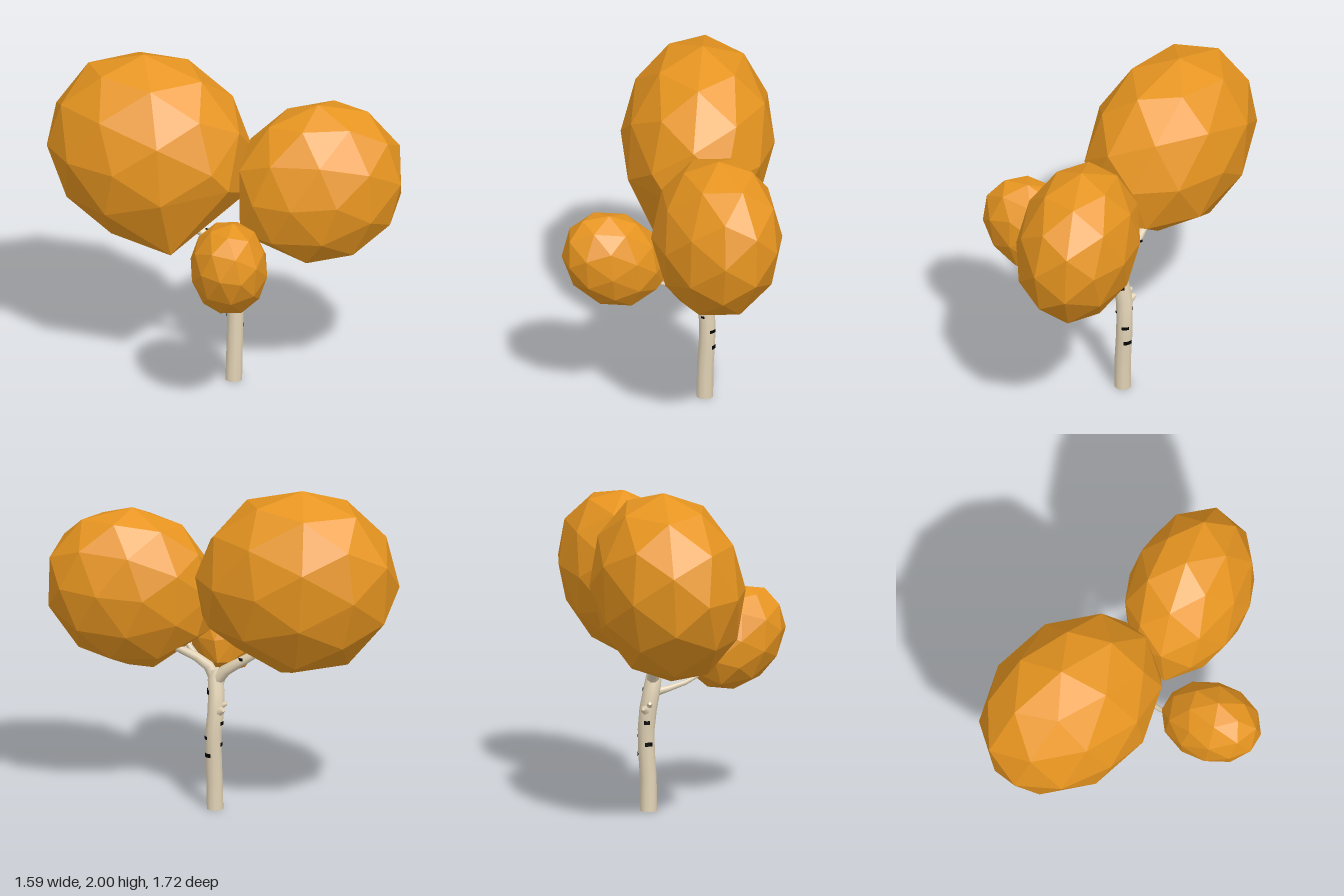
import * as THREE from 'three';
import { toCreasedNormals } from 'three/addons/utils/BufferGeometryUtils.js';
import { ConvexGeometry } from 'three/addons/geometries/ConvexGeometry.js';

const leaf = new THREE.MeshStandardMaterial({ color: 0xe79520 });
leaf.name = 'autumn leaves';
leaf.flatShading = true;
const bark = new THREE.MeshStandardMaterial({ color: 0xe2d3b6 });
bark.name = 'pale bark';
const dark = new THREE.MeshStandardMaterial({ color: 0x030303 });
dark.name = 'bark marks';
dark.side = THREE.DoubleSide;

// Faceted crown: a sheared ellipsoid with half extents h and tilt terms xy, xz, yz.
// Cuts [nx, ny, nz, distance] slice off the side facing the branches,
// and corners (in tree space) close the sliced side with large flat facets.
function crown(name, center, [hx, hy, hz], [xy, xz, yz], turn, cuts, corners) {
  const a = hx, b = xy / a, c = xz / a;
  const d = Math.sqrt(hy * hy - b * b);
  const e = (yz - b * c) / d;
  const f = Math.sqrt(hz * hz - c * c - e * e);
  const ball = new THREE.IcosahedronGeometry(1.025, 1);
  ball.rotateY(turn);
  ball.applyMatrix4(new THREE.Matrix4().set(
    a, 0, 0, 0,
    b, d, 0, 0,
    c, e, f, 0,
    0, 0, 0, 1));
  const mid = new THREE.Vector3(...center);
  const points = corners.map(p => new THREE.Vector3(...p).sub(mid));
  const pos = ball.attributes.position;
  for (let i = 0; i < pos.count; i++) {
    const p = new THREE.Vector3().fromBufferAttribute(pos, i);
    const kept = cuts.every(([x, y, z, k]) => p.dot(new THREE.Vector3(x, y, z)) < k);
    if (kept && !points.some(q => q.distanceTo(p) < 0.01)) points.push(p);
  }
  const mesh = new THREE.Mesh(new ConvexGeometry(points), leaf);
  mesh.name = name;
  mesh.position.copy(mid);
  return mesh;
}

// Tapered limb with closed ends; each station is [x, y, z, radius]
function limb(name, stations, sides = 8) {
  const pts = stations.map(s => new THREE.Vector3(s[0], s[1], s[2]));
  const verts = [], index = [], up = new THREE.Vector3(0, 1, 0);
  pts.forEach((p, i) => {
    const dir = pts[Math.min(i + 1, pts.length - 1)].clone().sub(pts[Math.max(i - 1, 0)]).normalize();
    if (name === 'trunk' && i === 0) dir.copy(up);
    const q = new THREE.Quaternion().setFromUnitVectors(up, dir);
    for (let j = 0; j < sides; j++) {
      const t = (j / sides) * Math.PI * 2;
      const v = new THREE.Vector3(Math.sin(t), 0, Math.cos(t)).multiplyScalar(stations[i][3]);
      verts.push(...v.applyQuaternion(q).add(p).toArray());
    }
  });
  const last = (pts.length - 1) * sides;
  for (let i = 0; i < pts.length - 1; i++) {
    for (let j = 0; j < sides; j++) {
      const a = i * sides + j, b = i * sides + (j + 1) % sides;
      index.push(a, b, b + sides, a, b + sides, a + sides);
    }
  }
  for (let j = 1; j < sides - 1; j++) {
    index.push(0, j + 1, j, last, last + j, last + j + 1);
  }
  const geo = new THREE.BufferGeometry();
  geo.setAttribute('position', new THREE.Float32BufferAttribute(verts, 3));
  geo.setIndex(index);
  const mesh = new THREE.Mesh(toCreasedNormals(geo, 1.1), bark);
  mesh.name = name;
  return mesh;
}

// Thin curved strip wrapped around the bark, facing the given angle from +z
function mark([x, y, z], radius, angle, sweep, height) {
  const geo = new THREE.CylinderGeometry(radius, radius, height, 5, 1, true, angle - sweep / 2, sweep);
  const mesh = new THREE.Mesh(geo, dark);
  mesh.name = 'barkMark';
  mesh.position.set(x, y, z);
  return mesh;
}

export function createModel() {
  const tree = new THREE.Group();
  tree.name = 'tree';

  // Trunk with a gentle bend
  tree.add(limb('trunk', [
    [0.008, 0, 0.073, 0.05], [0.012, 0.2, 0.075, 0.049], [0.021, 0.36, 0.07, 0.049],
    [0.022, 0.48, 0.068, 0.049], [0.008, 0.6, 0.064, 0.051], [-0.005, 0.7, 0.08, 0.05],
    [-0.012, 0.78, 0.098, 0.047], [-0.012, 0.84, 0.103, 0.034],
  ], 10));

  // Branches and twigs
  tree.add(limb('backBranch', [
    [-0.01, 0.77, 0.09, 0.038], [-0.04, 0.84, 0.04, 0.034], [-0.09, 0.9, -0.035, 0.029], [-0.155, 0.967, -0.115, 0.024],
  ]));
  tree.add(limb('frontBranch', [
    [-0.012, 0.78, 0.1, 0.038], [0.015, 0.855, 0.13, 0.033], [0.08, 0.915, 0.165, 0.027], [0.19, 0.98, 0.21, 0.021],
  ]));
  tree.add(limb('frontTwig', [
    [0.06, 0.89, 0.15, 0.02], [0.085, 0.94, 0.19, 0.017], [0.1, 0.985, 0.225, 0.014],
  ], 6));
  tree.add(limb('lowBranch', [
    [-0.01, 0.695, 0.09, 0.026], [-0.08, 0.715, 0.15, 0.018], [-0.16, 0.745, 0.22, 0.014], [-0.24, 0.8, 0.31, 0.011],
  ], 6));
  tree.add(limb('stub', [
    [0.008, 0.595, 0.045, 0.034], [0.006, 0.61, 0.018, 0.026], [0.004, 0.62, -0.004, 0.014],
  ], 6));
  tree.add(limb('sideStub', [
    [-0.005, 0.62, 0.05, 0.024], [-0.02, 0.64, 0.025, 0.017], [-0.03, 0.65, 0.008, 0.01],
  ], 6));

  // Dark marks on the bark
  const marks = [
    [[-0.005, 0.71, 0.083], 0.053, 0.95, 1.5, 0.028],
    [[0.016, 0.535, 0.066], 0.053, 0.1, 0.4, 0.014],
    [[0.022, 0.44, 0.068], 0.052, 1.3, 0.85, 0.02],
    [[0.02, 0.335, 0.071], 0.052, 1.7, 1.0, 0.024],
    [[0.022, 0.4, 0.069], 0.052, -2.4, 0.9, 0.024],
    [[0.016, 0.53, 0.066], 0.053, -2.7, 0.7, 0.022],
    [[-0.063, 0.87, 0.006], 0.036, 0.2, 1.0, 0.014],
    [[-0.107, 0.928, -0.06], 0.034, 1.5, 1.3, 0.018],
    [[-0.11, 0.727, 0.176], 0.021, 0, 1.2, 0.012],
  ];
  marks.forEach(m => tree.add(mark(...m)));

  // Three leaf crowns
  tree.add(crown('backCrown', [-0.293, 1.433, -0.33], [0.497, 0.555, 0.545], [0.003, 0.077, -0.028], 0.05,
    [[0.456, -0.82, 0.354, 0.53], [0.1, -0.5, 0.86, 0.535]],
    [[0.08, 1.18, 0.1], [0.01, 1.04, -0.14], [-0.25, 0.86, -0.22], [-0.38, 0.87, -0.03], [-0.15, 1.3, 0.22]]));
  tree.add(crown('frontCrown', [0.335, 1.312, 0.465], [0.448, 0.475, 0.398], [0.02, 0.054, -0.004], 0.7,
    [[-0.296, -0.777, -0.555, 0.46]],
    [[-0.09, 1.03, 0.25], [0.25, 0.83, 0.35], [0.1, 1.05, 0.12]]));
  tree.add(crown('smallCrown', [-0.362, 0.978, 0.485], [0.253, 0.295, 0.275], [-0.012, -0.019, 0.015], 0.5,
    [], [[-0.15, 0.8, 0.28]]));

  return tree;
}
